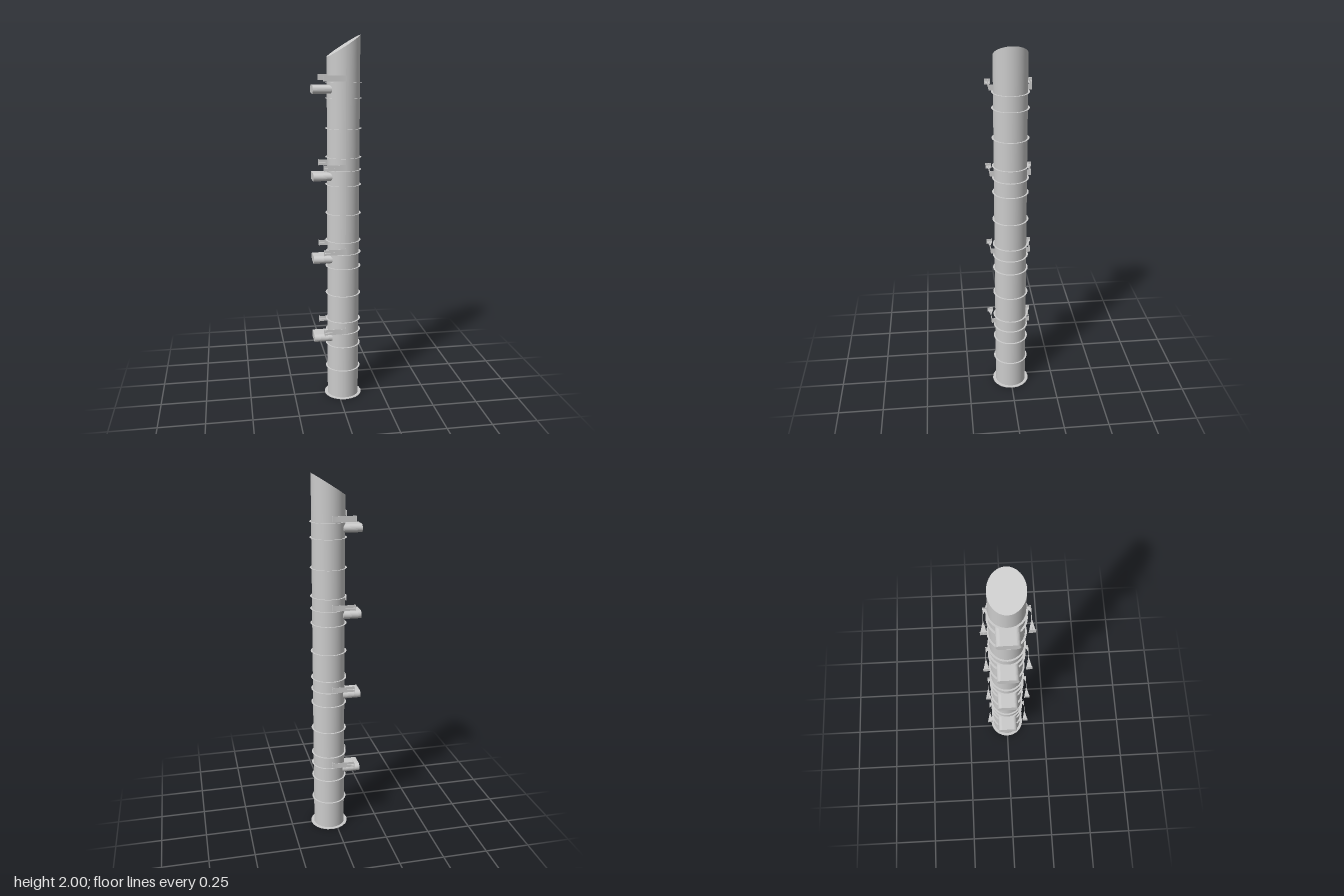
import * as THREE from 'three';

const CX = 0.03;       // tube axis
const R = 0.087;       // tube radius
const PITCH = 0.457;   // spacing of the repeating sections

export function createModel() {
  const model = new THREE.Group();
  const solid = new THREE.MeshStandardMaterial({ color: 0xcccccc });
  const sheet = new THREE.MeshStandardMaterial({ color: 0xcccccc, side: THREE.DoubleSide });

  const add = (parent, name, geometry, material, x = 0, y = 0, z = 0) => {
    const mesh = new THREE.Mesh(geometry, material);
    mesh.name = name;
    mesh.position.set(x, y, z);
    parent.add(mesh);
    return mesh;
  };

  // Main tube, its top cut on a slant
  const tube = new THREE.CylinderGeometry(R, R, 2, 64).translate(0, 1, 0);
  const p = tube.attributes.position;
  for (let i = 0; i < p.count; i++) {
    if (p.getY(i) > 1) p.setY(i, 1.945 + 0.055 * p.getX(i) / R);
    else p.setY(i, 0.002);
  }
  tube.computeVertexNormals();
  add(model, 'tube', tube, solid, CX);

  // Foot plate
  add(model, 'footPlate', new THREE.CylinderGeometry(0.105, 0.105, 0.003, 20)
    .rotateY(Math.PI / 2), solid, CX, 0.0015);

  // Thin collars around the tube
  const collar = new THREE.RingGeometry(R - 0.002, 0.097, 32).rotateX(-Math.PI / 2);
  for (let k = 0; k < 4; k++) {
    const heights = [k ? 0.152 : 0.168, 0.309, 0.39];
    if (k < 3) heights.push(0.457);
    heights.forEach(h => add(model, 'collar', collar, sheet, CX, h + k * PITCH, 0));
  }

  // Flat oval outlet, running along x
  const hw = 0.057, r = 0.0215;
  const oval = new THREE.Shape();
  oval.absarc(hw - r, 0, r, -Math.PI / 2, Math.PI / 2);
  oval.absarc(-hw + r, 0, r, Math.PI / 2, Math.PI * 1.5);
  oval.closePath();
  const outlet = new THREE.ExtrudeGeometry(oval, { depth: 0.1, bevelEnabled: false, curveSegments: 12 })
    .rotateY(Math.PI / 2).translate(-0.138, 0, 0);

  // Horizontal triangular web from x, z corner pairs
  const web = corners => new THREE.ShapeGeometry(
    new THREE.Shape(corners.map(([x, z]) => new THREE.Vector2(x, -z)))).rotateX(-Math.PI / 2);
  const endWeb = web([[-0.09, -0.0155], [-0.09, 0.0155], [-0.025, 0]]);
  const armH = 0.03;

  for (let k = 0; k < 4; k++) {
    const section = new THREE.Group();
    section.name = 'section';
    section.position.y = k * PITCH;
    model.add(section);
    add(section, 'outlet', outlet, solid, 0, 0.355, 0);

    // A pair of brackets, one on each side
    for (const s of [-1, 1]) {
      const bracket = new THREE.Group();
      bracket.name = s > 0 ? 'frontBracket' : 'backBracket';
      bracket.position.set(0, 0.413, s * 0.107);
      section.add(bracket);
      add(bracket, 'arm', new THREE.BoxGeometry(0.12, armH, 0.0015), solid, -0.03, 0, 0);
      add(bracket, 'endPlate', new THREE.BoxGeometry(0.0015, armH, 0.032), solid, -0.089, 0, 0);
      add(bracket, 'endWeb', endWeb, sheet);
      add(bracket, 'rootPlate', new THREE.BoxGeometry(0.0015, armH, 0.022), solid, 0.029, 0, -s * 0.0105);
      add(bracket, 'rootWeb', web([[0, 0], [0.03, 0], [0.03, -s * 0.02]]), sheet);
    }
  }
  return model;
}
